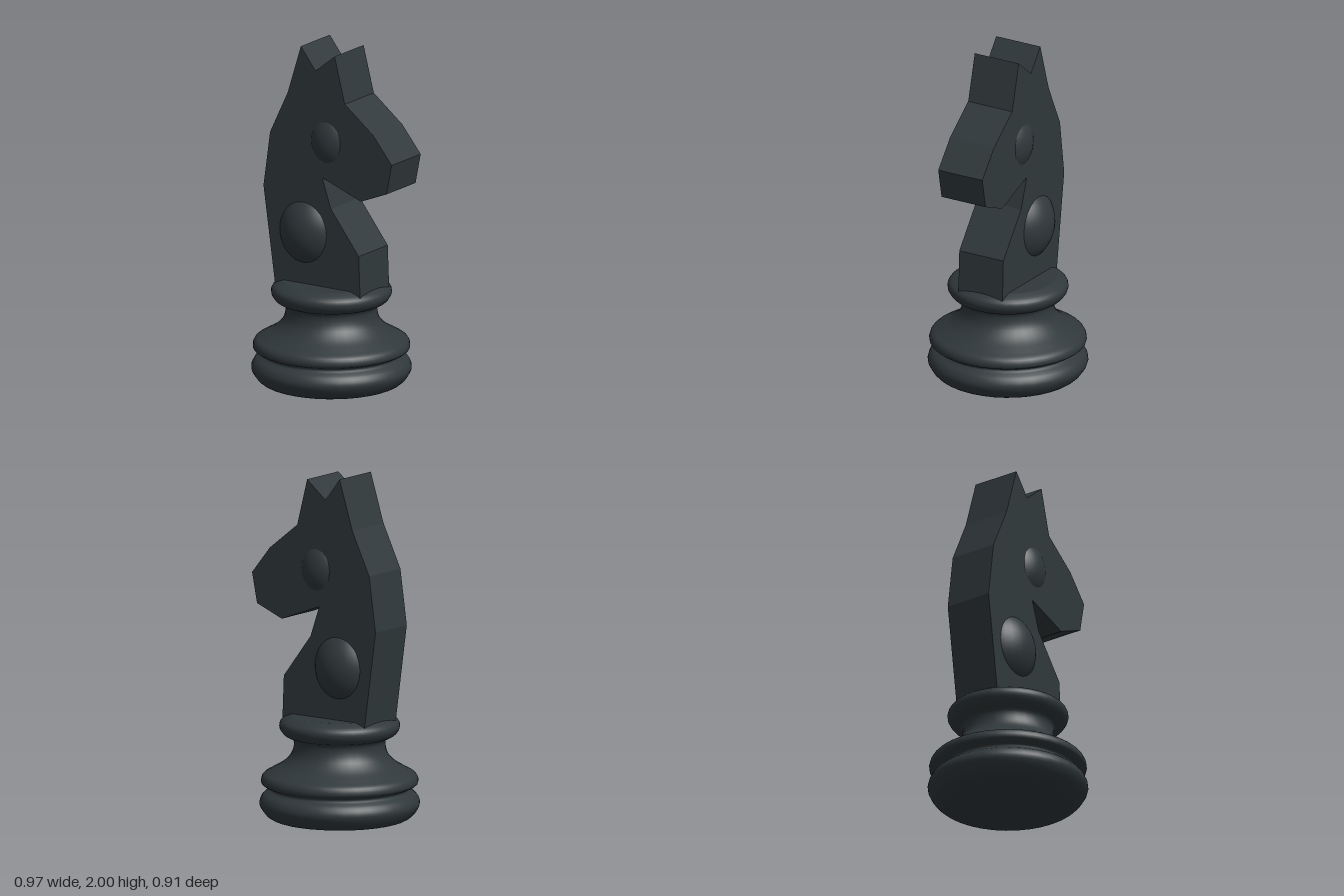
import * as THREE from 'three';

const material = new THREE.MeshStandardMaterial({ color: 0x30383b });

function part(name, geometry) {
  const mesh = new THREE.Mesh(geometry, material);
  mesh.name = name;
  return mesh;
}

// Turned pedestal: rounded foot, groove, upper ring, waist and collar
function createBase() {
  const profile = [
    [0.33, 0.004], [0.385, 0.016], [0.425, 0.045], [0.455, 0.1], [0.437, 0.15],
    [0.392, 0.187], [0.443, 0.217], [0.437, 0.262], [0.39, 0.292], [0.32, 0.335],
    [0.27, 0.395], [0.263, 0.47], [0.315, 0.498], [0.342, 0.54], [0.33, 0.58], [0.27, 0.61],
  ].map(([r, y]) => new THREE.Vector2(r, y));
  const points = [
    new THREE.Vector2(0, 0), new THREE.Vector2(0.3, 0),
    ...new THREE.SplineCurve(profile).getPoints(60),
    new THREE.Vector2(0, 0.61),
  ];
  const base = part('base', new THREE.LatheGeometry(points, 36));
  base.position.x = -0.03;
  return base;
}

// Flat slab cut to a horse head and neck outline
function createHead() {
  const outline = [
    [-0.315, 0.57], [0.265, 0.57], [0.255, 0.825], [0.065, 1.075], [0.005, 1.25],
    [0.27, 1.15], [0.445, 1.22], [0.48, 1.395], [0.355, 1.55], [0.16, 1.705],
    [0.09, 1.975], [-0.04, 1.87], [-0.14, 2], [-0.23, 1.715], [-0.35, 1.465], [-0.395, 1.145],
  ].map(([x, y]) => new THREE.Vector2(x, y));
  const depth = 0.294;
  const geometry = new THREE.ExtrudeGeometry(new THREE.Shape(outline), { depth, bevelEnabled: false });
  geometry.translate(0, 0, -depth / 2);
  return part('headAndNeck', geometry);
}

// Ellipsoid running through the slab, bulging out on both sides
function createBulge(name, x, y, rx, ry, rz) {
  const geometry = new THREE.SphereGeometry(1, 36, 24);
  geometry.scale(rx, ry, rz);
  const bulge = part(name, geometry);
  bulge.position.set(x, y, 0);
  return bulge;
}

export function createModel() {
  const model = new THREE.Group();
  model.name = 'chessKnight';
  model.add(
    createBase(),
    createHead(),
    createBulge('shoulders', -0.125, 0.91, 0.217, 0.24, 0.218),
    createBulge('cheeks', 0.03, 1.46, 0.172, 0.207, 0.18),
  );
  return model;
}
